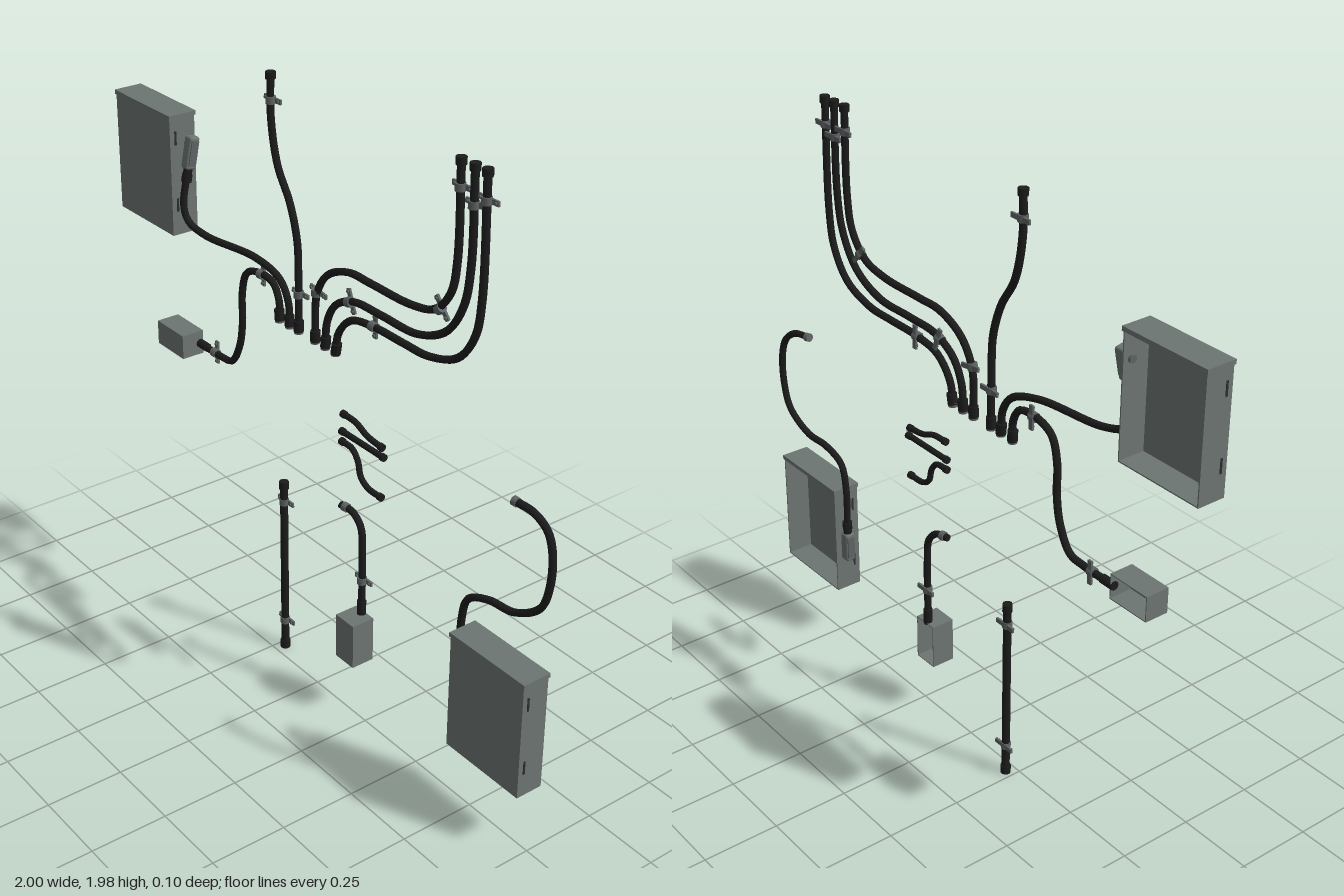
import * as THREE from 'three';
import { RoundedBoxGeometry } from 'three/addons/geometries/RoundedBoxGeometry.js';

const Z = -0.035; // plane in which most pipes lie

export function createModel() {
  const mat = (name, color) => new THREE.MeshStandardMaterial({ name, color });
  const black = mat('black cable', 0x1c1c1c);
  const steel = mat('painted steel', 0x6d7573);
  const clipGrey = mat('clip grey', 0x5f6464);
  const dark = mat('slot dark', 0x2b2e2e);
  const root = new THREE.Group();
  root.name = 'electricalConduitSet';

  const add = (parent, name, geo, material, x = 0, y = 0, z = 0) => {
    const m = new THREE.Mesh(geo, material);
    m.name = name;
    m.position.set(x, y, z);
    parent.add(m);
    return m;
  };
  const vec = ([x, y, z = Z]) => new THREE.Vector3(x, y, z);

  // Short cylinder between two points
  const rod = (parent, name, a, b, r, material) => {
    const d = b.clone().sub(a);
    const m = add(parent, name, new THREE.CylinderGeometry(r, r, d.length(), 10), material);
    m.position.copy(a).add(b).multiplyScalar(0.5);
    m.quaternion.setFromUnitVectors(new THREE.Vector3(0, 1, 0), d.normalize());
  };

  // Saddle clip: collar round the pipe and a mounting strap behind it
  const clip = (parent, x, y, angle, z = Z) => {
    const g = new THREE.Group();
    g.name = 'clip';
    g.position.set(x, y, z);
    g.rotation.z = angle;
    add(g, 'clipCollar', new THREE.CylinderGeometry(0.0155, 0.0155, 0.022, 10), clipGrey);
    add(g, 'clipStrap', new THREE.BoxGeometry(0.078, 0.015, 0.007), clipGrey, 0, 0, -0.008);
    for (const s of [-1, 1])
      add(g, 'clipBolt', new THREE.CylinderGeometry(0.005, 0.005, 0.006, 6), clipGrey, s * 0.03, 0, -0.003).rotation.x = Math.PI / 2;
    parent.add(g);
  };

  // Pipe through points; start and end give [length, radius, material] of a sleeve
  const pipe = (name, pts, { r = 0.0115, start, end, clips = [] } = {}) => {
    const g = new THREE.Group();
    g.name = name;
    root.add(g);
    const p = pts.map(vec);
    const curve = new THREE.CatmullRomCurve3(p, false, 'centripetal');
    add(g, 'pipe', new THREE.TubeGeometry(curve, p.length * 6, r, 8), black);
    [[start, 0], [end, 1]].forEach(([sleeve, t]) => {
      const tip = curve.getPoint(t);
      const inward = curve.getTangent(t).multiplyScalar(t ? -1 : 1);
      const [len, rad, m] = sleeve || [0.004, r, black];
      rod(g, 'endSleeve', tip, tip.clone().addScaledVector(inward, len), rad, m);
    });
    clips.forEach(([x, y, a = 0, z]) => clip(g, x, y, a, z));
    return g;
  };

  // Hollow box, open at the back
  const housing = (name, x0, x1, y0, y1, z0, z1, t) => {
    const g = new THREE.Group();
    g.name = name;
    root.add(g);
    const w = x1 - x0, h = y1 - y0, d = z1 - z0;
    const cx = (x0 + x1) / 2, cy = (y0 + y1) / 2, cz = (z0 + z1) / 2;
    add(g, 'frontPanel', new THREE.BoxGeometry(w, h, t), steel, cx, cy, z1 - t / 2);
    for (const s of [-1, 1]) {
      add(g, 'sidePanel', new THREE.BoxGeometry(t, h, d - t), steel, cx + s * (w - t) / 2, cy, cz - t / 2);
      add(g, 'endPanel', new THREE.BoxGeometry(w - 2 * t, t, d - t), steel, cx, cy + s * (h - t) / 2, cz - t / 2);
    }
    return g;
  };

  // Two large cabinets with an overhanging lid and side slots
  const cabinet = (name, x0, y0) => {
    const x1 = x0 + 0.305, y1 = y0 + 0.394;
    const g = housing(name, x0, x1, y0, y1, -0.045, 0.046, 0.004);
    add(g, 'lid', new THREE.BoxGeometry(0.313, 0.014, 0.097), steel, (x0 + x1) / 2, y1 - 0.005, 0.0005);
    for (const x of [x0, x1])
      for (const y of [0.1, 0.32])
        add(g, 'sideSlot', new THREE.BoxGeometry(0.003, 0.045, 0.007), dark, x, y0 + y, 0.026);
  };
  cabinet('upperCabinet', -0.996, 1.345);
  cabinet('lowerCabinet', 0.688, 0.212);

  // Two small junction boxes
  housing('sideJunctionBox', -0.832, -0.684, 0.908, 0.99, -0.047, 0.032, 0.003);
  housing('lowerJunctionBox', 0.138, 0.224, 0.203, 0.357, -0.047, 0.032, 0.003);

  // Elbow fittings that join the pipes to the cabinets
  const fitting = (name, x, y, z, tilt, side, flip) => {
    const g = new THREE.Group();
    g.name = name;
    g.position.set(x, y, z);
    g.rotation.x = tilt;
    root.add(g);
    add(g, 'fittingBody', new RoundedBoxGeometry(0.036, 0.105, 0.036, 2, 0.008), steel);
    add(g, 'fittingCover', new THREE.BoxGeometry(0.006, 0.08, 0.026), clipGrey, -side * 0.018);
    add(g, 'fittingNeck', new THREE.CylinderGeometry(0.014, 0.014, 0.05, 10), black, 0, flip * 0.07, 0);
    add(g, 'fittingNut', new THREE.CylinderGeometry(0.018, 0.018, 0.024, 6), black, 0, flip * 0.082, 0);
    add(g, 'fittingSpigot', new THREE.CylinderGeometry(0.012, 0.012, 0.03, 10), clipGrey, side * 0.02, -flip * 0.025, 0).rotation.z = Math.PI / 2;
  };
  fitting('upperCabinetFitting', -0.668, 1.618, -0.012, -0.2, -1, -1);
  fitting('lowerCabinetFitting', 0.666, 0.392, -0.012, 0, 1, 1);

  // Pipe fan meeting in the middle
  const foot = [0.036, 0.0155, black];
  const tip = [0.022, 0.0155, black];
  const fan = { start: tip, end: foot };
  pipe('upperCabinetPipe', [[-0.667, 1.55, 0.004], [-0.667, 1.45, 0.02], [-0.645, 1.405, 0.019], [-0.57, 1.38, 0.008],
    [-0.34, 1.376, -0.024], [-0.235, 1.342], [-0.193, 1.285], [-0.185, 1.205]], { end: foot });
  pipe('sideBoxPipe', [[-0.69, 0.947], [-0.56, 0.947], [-0.5, 0.957], [-0.455, 1.03], [-0.437, 1.12], [-0.435, 1.22],
    [-0.41, 1.296], [-0.355, 1.322], [-0.27, 1.317], [-0.24, 1.27], [-0.238, 1.205]],
  { start: [0.05, 0.0145, black], end: foot, clips: [[-0.596, 0.947, Math.PI / 2], [-0.33, 1.322, Math.PI / 2]] });
  pipe('upperMiddlePipe', [[-0.27, 1.98], [-0.27, 1.84], [-0.24, 1.705], [-0.18, 1.605], [-0.146, 1.5], [-0.14, 1.4],
    [-0.14, 1.205]], { ...fan, clips: [[-0.27, 1.895], [-0.14, 1.328]] });
  pipe('outerBendPipe', [[0.563, 1.98], [0.563, 1.69], [0.543, 1.59], [0.48, 1.517], [0.38, 1.492], [0.2, 1.489],
    [0.1, 1.486], [0, 1.44], [-0.05, 1.36], [-0.058, 1.205]],
  { ...fan, clips: [[0.563, 1.897], [0.5, 1.526, -0.85], [-0.052, 1.367, -0.15]] });
  pipe('middleBendPipe', [[0.617, 1.98], [0.617, 1.69], [0.595, 1.57], [0.53, 1.47], [0.41, 1.414], [0.25, 1.409],
    [0.125, 1.403], [0.04, 1.36], [0, 1.29], [-0.008, 1.205]],
  { ...fan, clips: [[0.617, 1.865], [0.105, 1.395, -1.2]] });
  pipe('innerBendPipe', [[0.665, 1.98], [0.665, 1.61], [0.645, 1.5], [0.58, 1.41], [0.46, 1.366], [0.35, 1.362],
    [0.22, 1.36], [0.115, 1.34], [0.055, 1.275], [0.042, 1.205]],
  { ...fan, clips: [[0.665, 1.892], [0.216, 1.36, Math.PI / 2]] });

  // Grey ferrules under the fan
  for (const x of [-0.238, -0.185, -0.14, -0.058, -0.008, 0.042])
    add(root, 'ferrule', new THREE.CylinderGeometry(0.0145, 0.0145, 0.014, 10), clipGrey, x, 1.206, Z);

  // Lower cabinet pipe, swept out to the side
  pipe('lowerCabinetPipe', [[0.666, 0.46, -0.012], [0.666, 0.62, -0.012], [0.69, 0.7, -0.012], [0.767, 0.736, -0.018],
    [0.863, 0.745, -0.025], [0.955, 0.805, -0.033], [0.984, 0.89], [0.984, 1.0], [0.965, 1.06, -0.03],
    [0.92, 1.095, -0.022], [0.848, 1.104, -0.012]], { end: [0.016, 0.0145, clipGrey] });

  // Pipe rising from the lower junction box
  pipe('lowerBoxPipe', [[0.18, 0.35], [0.18, 0.59], [0.17, 0.67], [0.135, 0.707, -0.03], [0.088, 0.712, -0.022]],
    { start: [0.055, 0.0145, black], clips: [[0.18, 0.48]] });
  rod(root, 'pipeCollar', vec([0.1, 0.712, -0.024]), vec([0.117, 0.711, -0.027]), 0.015, clipGrey);

  // Straight pipe
  pipe('straightPipe', [[-0.224, 0], [-0.224, 0.3], [-0.224, 0.64]],
    { r: 0.013, start: [0.028, 0.0165, black], end: [0.028, 0.0155, black], clips: [[-0.224, 0.565], [-0.224, 0.108]] });

  // Three loose short cables
  const loose = { r: 0.0095, start: [0.014, 0.012, black], end: [0.014, 0.012, black] };
  const s = -0.012;
  pipe('shortCable', [[0.106, 1.04, s], [0.17, 1.037, s], [0.225, 1.016, s], [0.298, 1.008, s]], loose);
  pipe('shortCable', [[0.1, 0.979, s], [0.2, 0.979, s], [0.306, 0.979, s]], loose);
  pipe('shortCable', [[0.1, 0.945, s], [0.155, 0.941, s], [0.182, 0.912, s], [0.197, 0.865, s], [0.23, 0.843, s],
    [0.298, 0.84, s]], loose);

  return root;
}
